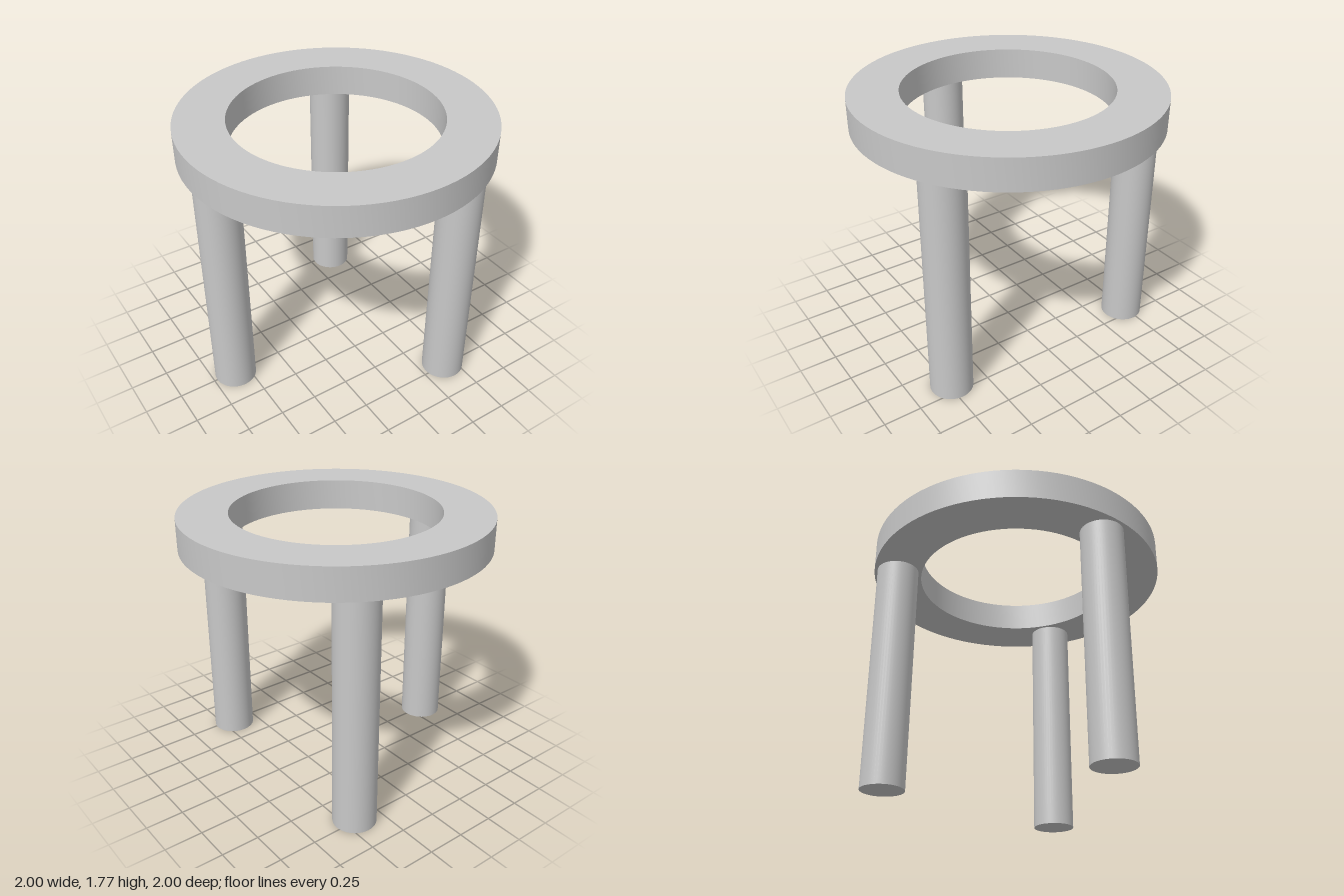
import * as THREE from 'three';
import { toCreasedNormals } from 'three/addons/utils/BufferGeometryUtils.js';

const LEG_HEIGHT = 1.57, LEG_RADIUS = 0.141, LEG_CIRCLE = 0.838;
const RING_HEIGHT = 0.205, RING_OUTER = 1, RING_INNER = 0.676;

export function createModel() {
  const model = new THREE.Group();
  model.name = 'ringStool';
  const grey = new THREE.MeshStandardMaterial({ name: 'grey', color: 0xc8c8c8 });

  // Flat ring top with an open centre
  const outline = new THREE.Shape().absarc(0, 0, RING_OUTER, 0, Math.PI * 2, false);
  outline.holes.push(new THREE.Path().absarc(0, 0, RING_INNER, 0, Math.PI * 2, true));
  const ringGeometry = new THREE.ExtrudeGeometry(outline, {
    depth: RING_HEIGHT, bevelEnabled: false, curveSegments: 48,
  });
  ringGeometry.rotateX(-Math.PI / 2);
  const ring = new THREE.Mesh(toCreasedNormals(ringGeometry, Math.PI / 6), grey);
  ring.name = 'ringTop';
  ring.position.y = LEG_HEIGHT;
  model.add(ring);

  // Three round legs, evenly spaced under the ring
  const legGeometry = new THREE.CylinderGeometry(LEG_RADIUS, LEG_RADIUS, LEG_HEIGHT, 48);
  ['rightLeg', 'backLeftLeg', 'frontLeftLeg'].forEach((name, i) => {
    const angle = Math.PI + (i * Math.PI * 2) / 3;
    const leg = new THREE.Mesh(legGeometry, grey);
    leg.name = name;
    leg.position.set(Math.cos(angle) * LEG_CIRCLE, LEG_HEIGHT / 2, Math.sin(angle) * LEG_CIRCLE);
    model.add(leg);
  });

  return model;
}
